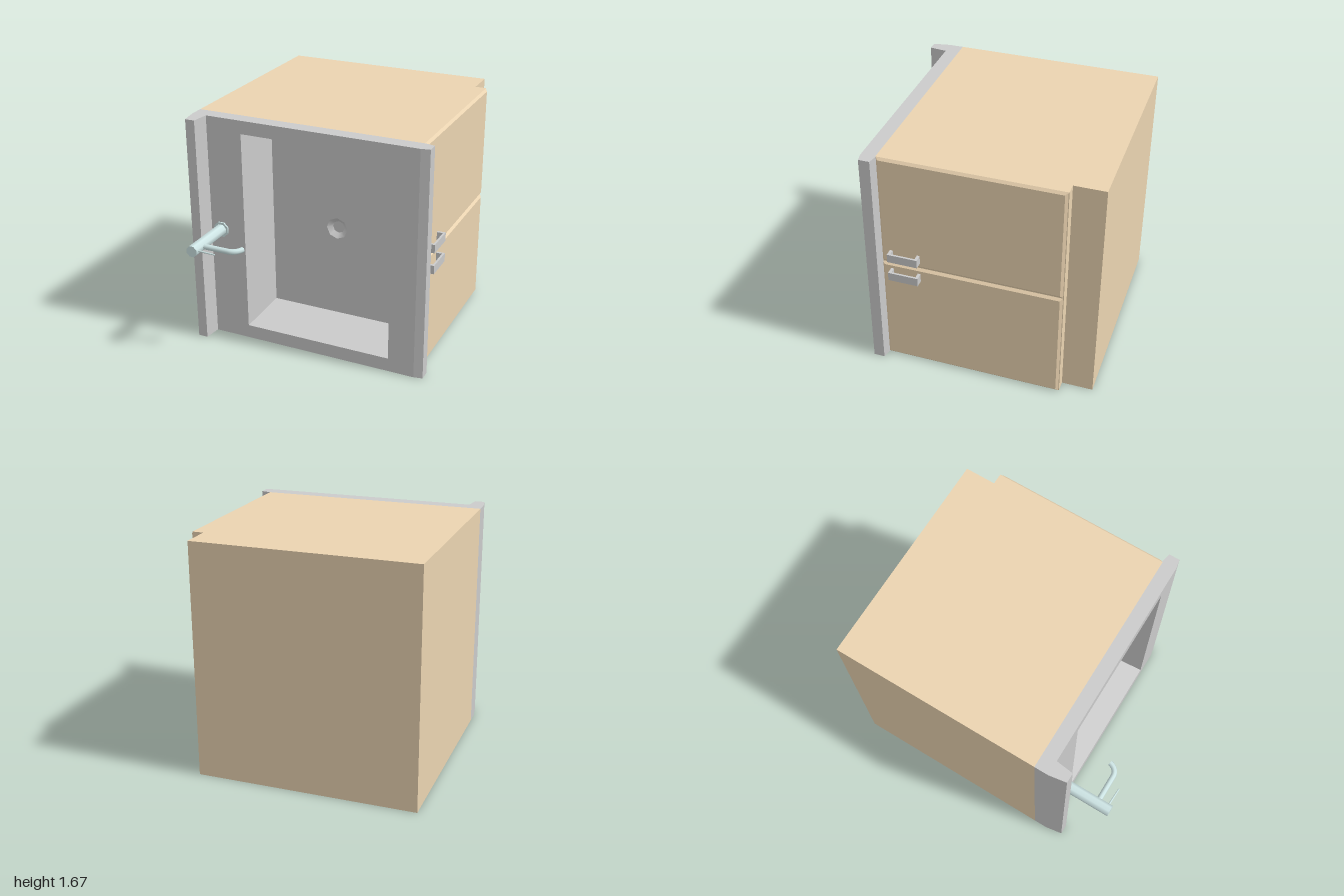
import * as THREE from 'three';
import { mergeGeometries } from 'three/addons/utils/BufferGeometryUtils.js';

const H = 1.67;
const material = (color) => new THREE.MeshStandardMaterial({ color, side: THREE.DoubleSide });
const stone = material(0xcccccc);
const wood = material(0xebd4b1);
const chrome = material(0xcfe6e6);

function mesh(name, geometry, mat, parent) {
  const m = new THREE.Mesh(geometry, mat);
  m.name = name;
  parent.add(m);
  return m;
}

// Flat-shaded wall between two closed loops of [x, y, z]; listed segments stay open.
function loft(a, b, open = []) {
  const pos = [];
  a.forEach((p, i) => {
    if (open.includes(i)) return;
    const j = (i + 1) % a.length;
    pos.push(...p, ...a[j], ...b[j], ...p, ...b[j], ...b[i]);
  });
  const g = new THREE.BufferGeometry();
  g.setAttribute('position', new THREE.Float32BufferAttribute(pos, 3));
  g.computeVertexNormals();
  return g;
}

const shapeOf = (pts) => new THREE.Shape(pts.map(([x, y]) => new THREE.Vector2(x, y)));

function plain(g) {
  const flat = g.index ? g.toNonIndexed() : g;
  flat.deleteAttribute('uv');
  return flat;
}

// Outline of [x, z] raised from y = 0 to H, with caps.
function prism(outline, open) {
  const at = (y) => outline.map(([x, z]) => [x, y, z]);
  const cap = () => plain(new THREE.ShapeGeometry(shapeOf(outline.map(([x, z]) => [x, -z]))).rotateX(-Math.PI / 2));
  return mergeGeometries([loft(at(0), at(H), open), cap(), cap().translate(0, H, 0)]);
}

const rect = (x0, x1, y0, y1) => [[x0, y0], [x1, y0], [x1, y1], [x0, y1]];

export function createModel() {
  const model = new THREE.Group();
  model.name = 'sinkCabinet';

  // Cabinet with a toe recess, open towards the counter
  mesh('cabinet', prism([[-0.86, -1], [-0.86, 0.5], [0.785, 0.5], [0.785, -0.78], [0.705, -0.78], [0.705, -1]], [1]), wood, model);

  // Counter slab with raised splash edge and bevelled lip
  mesh('counter', prism([[-0.86, 0.5], [-0.86, 0.6], [-0.84, 0.725], [-0.77, 0.725], [-0.755, 0.6],
    [0.795, 0.6], [0.858, 0.588], [0.858, 0.51], [0.785, 0.495]], [4, 8]), stone, model);
  const rim = rect(-0.49, 0.605, 0.1, 1.575);
  const bottom = rect(-0.445, 0.56, 0.16, 1.51);
  const face = shapeOf(rect(-0.755, 0.795, 0, H));
  face.holes.push(shapeOf(rim));
  mesh('counterFace', new THREE.ShapeGeometry(face).translate(0, 0, 0.6), stone, model);

  // Basin with a sunken drain
  const basin = new THREE.Group();
  basin.name = 'basin';
  model.add(basin);
  const floorZ = 0.25, drainDepth = 0.03, cx = 0.06, cy = 0.835;
  mesh('basinWalls', loft(bottom.map((p) => [...p, floorZ]), rim.map((p) => [...p, 0.6])), stone, basin);
  const floor = shapeOf(bottom);
  const ring = [];
  for (let i = 0; i < 8; i++) {
    const t = (i * Math.PI) / 4;
    ring.push([cx + 0.08 * Math.sin(t), cy + 0.08 * Math.cos(t)]);
  }
  floor.holes.push(shapeOf(ring));
  mesh('basinFloor', new THREE.ShapeGeometry(floor).translate(0, 0, floorZ), stone, basin);
  const drain = new THREE.CylinderGeometry(0.08, 0.045, drainDepth, 8, 1, true).rotateX(Math.PI / 2);
  mesh('drainWall', drain, stone, basin).position.set(cx, cy, floorZ - drainDepth / 2);
  const plug = new THREE.CircleGeometry(0.045, 8);
  mesh('drainFloor', plug, stone, basin).position.set(cx, cy, floorZ - drainDepth);

  // Two bevelled doors, each with a bracket handle
  [[0, 0.832, 0.73], [0.838, H, 0.885]].forEach(([y0, y1, handleY], i) => {
    const door = new THREE.Group();
    door.name = i ? 'upperDoor' : 'lowerDoor';
    model.add(door);
    const b = 0.018;
    const loop = (x, d) => rect(-0.5 + d, 0.775 - d, y0 + d, y1 - d).map(([u, y]) => [x, y, -u]);
    const front = new THREE.PlaneGeometry(1.275 - 2 * b, y1 - y0 - 2 * b)
      .rotateY(Math.PI / 2).translate(0.8, (y0 + y1) / 2, -0.1375);
    mesh('doorPanel', mergeGeometries([loft(loop(0.785, 0), loop(0.8, b)), plain(front)]), wood, door);

    const bracket = shapeOf([[0.795, -0.435], [0.857, -0.435], [0.857, -0.22], [0.795, -0.22],
      [0.795, -0.24], [0.842, -0.24], [0.842, -0.415], [0.795, -0.415]]);
    const handle = new THREE.ExtrudeGeometry(bracket, { depth: 0.062, bevelEnabled: false }).rotateX(-Math.PI / 2);
    mesh('handle', handle, stone, door).position.y = handleY;
  });

  // Faucet standing on the counter
  const faucet = new THREE.Group();
  faucet.name = 'faucet';
  faucet.position.set(-0.675, 0.838, 0);
  model.add(faucet);
  const post = (name, r, z0, z1) => {
    const g = new THREE.CylinderGeometry(r, r, z1 - z0, 8).rotateY(Math.PI / 8).rotateX(Math.PI / 2);
    mesh(name, g, chrome, faucet).position.z = (z0 + z1) / 2;
  };
  post('faucetBase', 0.058, 0.6, 0.612);
  post('faucetBody', 0.042, 0.612, 0.94);
  post('faucetCap', 0.042, 0.94, 1);

  // Spout: straight run with a bend back towards the basin
  const path = new THREE.CurvePath();
  const v = (x, z) => new THREE.Vector3(x, 0, z);
  path.add(new THREE.LineCurve3(v(0.03, 0.895), v(0.225, 0.895)));
  path.add(new THREE.QuadraticBezierCurve3(v(0.225, 0.895), v(0.28, 0.892), v(0.298, 0.83)));
  mesh('spout', new THREE.TubeGeometry(path, 24, 0.02, 8), chrome, faucet);
  const tip = new THREE.CircleGeometry(0.02, 8).rotateY(Math.PI - 0.28);
  mesh('spoutEnd', tip, chrome, faucet).position.set(0.298, 0, 0.83);

  // Thin lever
  const lever = new THREE.CylinderGeometry(0.005, 0.007, 0.14, 8).rotateZ(-Math.PI / 2).rotateY(-0.04);
  mesh('lever', lever, chrome, faucet).position.set(0.097, 0, 0.973);

  return model;
}
